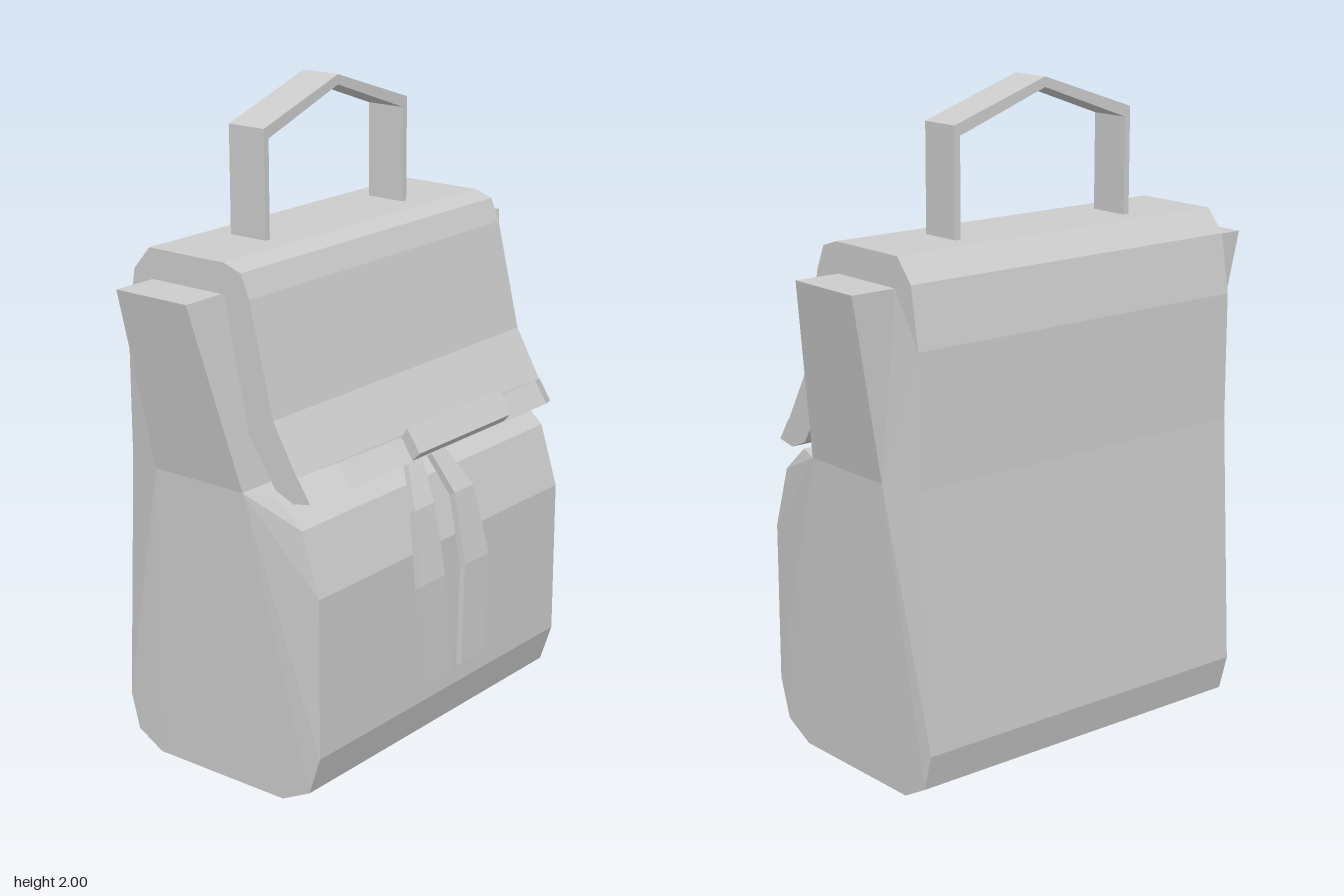
import * as THREE from 'three';
import { ConvexGeometry } from 'three/addons/geometries/ConvexGeometry.js';

const W = 0.59; // half width of the bag
const material = new THREE.MeshStandardMaterial({ color: 0xcccccc, flatShading: true, side: THREE.DoubleSide });

function add(group, name, geometry) {
  const mesh = new THREE.Mesh(geometry, material);
  mesh.name = name;
  group.add(mesh);
  return mesh;
}

// Extrude a [z, y] outline across the width
function acrossX(outline, halfWidth) {
  const shape = new THREE.Shape(outline.map(([z, y]) => new THREE.Vector2(z, y)));
  return new THREE.ExtrudeGeometry(shape, { depth: halfWidth * 2, bevelEnabled: false })
    .translate(0, 0, -halfWidth).rotateY(-Math.PI / 2);
}

// Build a geometry from triangles of [x, y, z] corners
function fromTriangles(triangles) {
  const g = new THREE.BufferGeometry();
  g.setAttribute('position', new THREE.Float32BufferAttribute(triangles.flat(2), 3));
  g.computeVertexNormals();
  return g;
}

// Closed skin over four-cornered rings
function loft(rings) {
  const tris = [];
  for (let i = 0; i < rings.length - 1; i++) {
    for (let j = 0; j < 4; j++) {
      const k = (j + 1) % 4;
      const [a, b, c, d] = [rings[i][j], rings[i][k], rings[i + 1][k], rings[i + 1][j]];
      tris.push([a, b, c], [a, c, d]);
    }
  }
  const s = rings[0], e = rings[rings.length - 1];
  tris.push([s[0], s[2], s[1]], [s[0], s[3], s[2]], [e[0], e[1], e[2]], [e[0], e[2], e[3]]);
  return fromTriangles(tris);
}

export function createModel() {
  const bag = new THREE.Group();
  bag.name = 'backpack';

  // Body with the folded-over flap, as one side outline
  const front = [[0.095, 0.93], [0.19, 0.93], [0.28, 0.85], [0.34, 0.66], [0.34, 0.17], [0.30, 0.05], [0.20, 0]];
  const back = [[-0.28, 0], [-0.37, 0.05], [-0.40, 0.16], [-0.36, 0.93], [-0.36, 1.32]];
  const flap = [
    [-0.33, 1.50], [-0.27, 1.57], [0.01, 1.57], [0.07, 1.55], [0.10, 1.48], [0.18, 1.15], [0.265, 1.0],
    [0.25, 0.923], [0.186, 0.95], [0.09, 1.095], [0.01, 1.48], [0, 1.48],
  ];
  add(bag, 'body', acrossX([...front, ...back, ...flap], W));

  for (const s of [1, -1]) {
    const side = s > 0 ? 'left' : 'right';

    // Side panel bulging out to two points under the gusset
    const outline = [...front, ...back, [-0.26, 1.48]].map(([z, y]) => [s * W, y, z]);
    const tipFront = [s * 0.625, 0.93, 0.095], tipBack = [s * 0.625, 0.93, -0.235];
    const tris = [];
    for (let i = 0; i < outline.length - 1; i++) {
      tris.push([outline[i], outline[i + 1], i < front.length ? tipFront : tipBack]);
    }
    tris.push([outline[front.length], tipBack, tipFront]);
    add(bag, side + 'SidePanel', fromTriangles(s > 0 ? tris : tris.map(([a, b, c]) => [a, c, b])));

    // Gusset flaring outward toward the top
    const corners = [];
    for (const [x, y, z] of [[0.735, 1.48, 0], [0.735, 1.48, -0.26], [0.625, 0.93, 0.095], [0.625, 0.93, -0.235]]) {
      corners.push(new THREE.Vector3(s * x, y, z), new THREE.Vector3(s * W, y, z));
    }
    add(bag, side + 'Gusset', new ConvexGeometry(corners));

    // Hanging strap: y, front z, inner x, outer x
    const rows = [[0.93, 0.25, 0.015, 0.075], [0.78, 0.335, 0.05, 0.145], [0.56, 0.377, 0.05, 0.173], [0.25, 0.387, 0.025, 0.145]];
    add(bag, side + 'Strap', loft(rows.map(([y, z, xi, xo]) => {
      const lo = Math.min(s * xi, s * xo), hi = Math.max(s * xi, s * xo);
      return [[lo, y, z - 0.018], [hi, y, z - 0.018], [hi, y + 0.01, z], [lo, y + 0.01, z]];
    })));
  }

  // Upturned lip of the flap: x, front top z and y, front bottom z and y
  const half = [[0.23, 0.345, 1.04, 0.387, 0.976], [0.485, 0.32, 1.03, 0.365, 0.963], [W, 0.268, 1.0, 0.31, 0.935]];
  const lip = [...half.map(([x, ...r]) => [-x, ...r]).reverse(), ...half];
  add(bag, 'flapLip', loft(lip.map(([x, zt, yt, zb, yb]) =>
    [[x, 1.0, 0.262], [x, yt, zt], [x, yb, zb], [x, 0.923, 0.25]])));

  // Tab at the middle of the lip
  add(bag, 'flapTab', acrossX([[0.34, 1.035], [0.38, 0.973], [0.41, 1.005], [0.366, 1.07]], 0.225));

  // Peaked carry handle
  const arch = [
    [0.33, 1.57], [0.33, 1.89], [0, 2], [-0.33, 1.89], [-0.33, 1.57],
    [-0.31, 1.57], [-0.31, 1.86], [0, 1.97], [0.31, 1.86], [0.31, 1.57],
  ];
  const handle = new THREE.Shape(arch.map(([x, y]) => new THREE.Vector2(x, y)));
  add(bag, 'handle', new THREE.ExtrudeGeometry(handle, { depth: 0.13, bevelEnabled: false }).translate(0, 0, -0.195));

  return bag;
}
